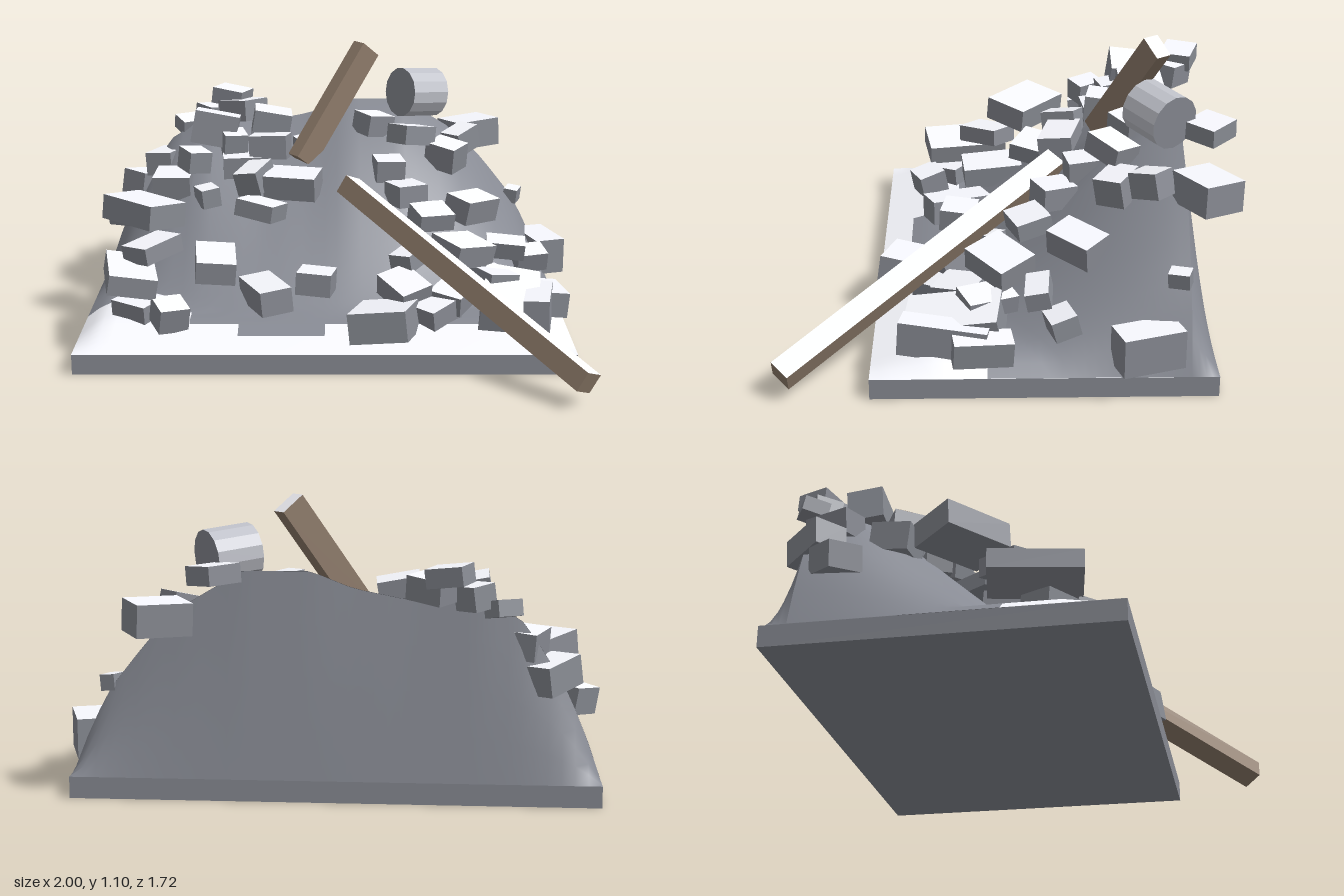
import * as THREE from 'three';

// Dusty upward faces are pale, the other faces dark
const PALE = new THREE.MeshStandardMaterial({ color: 0xf8f9ff });
const DARK = new THREE.MeshStandardMaterial({ color: 0x898c94 });
const MID = new THREE.MeshStandardMaterial({ color: 0xc0c2ca });
const WOOD = new THREE.MeshStandardMaterial({ color: 0x8f7c6b });
const HEAP = new THREE.MeshStandardMaterial({ color: 0x888b94, side: THREE.DoubleSide });
const SKIRT = new THREE.MeshStandardMaterial({ color: 0xf8f9ff, side: THREE.DoubleSide });
const X0 = -1, X1 = 0.93, RIDGE_Z = -0.66, BACK_Z = -0.76, FRONT_Z = 0.51, BASE = 0.08;

// Crest of the heap along its back, as x and y
const crest = [[-1, 0.08], [-0.96, 0.2], [-0.87, 0.42], [-0.72, 0.65], [-0.56, 0.75], [-0.3, 0.73], [-0.1, 0.77],
  [0.05, 0.83], [0.3, 0.83], [0.5, 0.71], [0.65, 0.57], [0.8, 0.38], [0.89, 0.19], [0.93, 0.08]];

// Stepped foot of the slope: right end of each step and its z
const footSteps = [[-0.71, 0.08], [-0.57, 0.2], [-0.36, 0.3], [-0.04, 0.41], [0.57, 0.3], [0.72, 0.2], [1, 0.08]];

function crestHeight(x) {
  let i = 0;
  while (i < crest.length - 2 && x > crest[i + 1][0]) i++;
  const [a, b] = [crest[i], crest[i + 1]];
  return a[1] + (b[1] - a[1]) * (x - a[0]) / (b[0] - a[0]);
}

// Heap height: slope down from the crest, running into a shallow skirt
function heapHeight(x, z) {
  const foot = 0.4 - 0.32 * Math.min(1, ((x + 0.05) / 0.92) ** 2);
  const t = THREE.MathUtils.clamp((z - RIDGE_Z) / (foot - RIDGE_Z), 0, 1);
  const fall = 0.5 * (1 - t) + 0.25 * (1 + Math.cos(Math.PI * t));
  const edge = Math.min(1, (x - X0) / 0.08, (X1 - x) / 0.08);
  const skirt = BASE + 0.06 * edge * Math.min(1, (FRONT_Z - z) / 0.22);
  return Math.max(BASE + (crestHeight(x) - BASE) * fall, skirt);
}

// Grid surface; point(u, v) gives [x, y, z]
function surface(nu, nv, point) {
  const geo = new THREE.PlaneGeometry(1, 1, nu, nv);
  const pos = geo.attributes.position;
  for (let i = 0; i < pos.count; i++) pos.setXYZ(i, ...point(pos.getX(i) + 0.5, 0.5 - pos.getY(i)));
  geo.computeVertexNormals();
  return geo;
}

// Sorts the grid's cells into dark slope and pale skirt
function splitSkirt(geo) {
  const pos = geo.attributes.position, index = geo.index.array, slope = [], skirt = [];
  for (let i = 0; i < index.length; i += 6) {
    const cell = Array.from(index.slice(i, i + 6));
    const mean = (get) => cell.reduce((sum, k) => sum + get(k), 0) / 6;
    const x = mean((k) => pos.getX(k)), z = mean((k) => pos.getZ(k));
    (z > footSteps.find((step) => x < step[0])[1] ? skirt : slope).push(...cell);
  }
  geo.setIndex([...slope, ...skirt]);
  geo.addGroup(0, slope.length, 0);
  geo.addGroup(slope.length, skirt.length, 1);
  return geo;
}

// Rubble blocks: x, y, z, width, height, depth, yaw in degrees
const leftBlocks = [
  [-0.78, 0.48, -0.1, 0.28, 0.1, 0.2, -40], [-0.81, 0.29, 0.17, 0.19, 0.08, 0.34, 10],
  [-0.64, 0.18, 0.33, 0.12, 0.1, 0.12, 25], [-0.77, 0.17, 0.22, 0.17, 0.08, 0.14, -35],
  [-0.48, 0.3, 0.05, 0.16, 0.09, 0.25, 5], [-0.27, 0.22, 0.2, 0.13, 0.1, 0.26, 22],
  [-0.07, 0.27, 0.19, 0.14, 0.09, 0.14, -10], [-0.9, 0.36, -0.53, 0.14, 0.1, 0.13, -40],
  [-0.82, 0.46, -0.63, 0.19, 0.11, 0.13, 50], [-0.73, 0.57, -0.59, 0.12, 0.1, 0.18, -20],
  [-0.68, 0.52, -0.37, 0.16, 0.11, 0.15, -5], [-0.59, 0.63, -0.36, 0.1, 0.09, 0.12, 30],
  [-0.53, 0.5, -0.25, 0.08, 0.08, 0.1, 25], [-0.3, 0.48, -0.12, 0.17, 0.07, 0.14, -25],
  [-0.73, 0.37, 0.07, 0.14, 0.07, 0.2, -40],
];
const upperBlocks = [
  [-0.51, 0.73, -0.52, 0.19, 0.14, 0.14, 0], [-0.39, 0.6, -0.38, 0.16, 0.09, 0.1, 5],
  [-0.27, 0.75, -0.56, 0.16, 0.11, 0.18, 3], [-0.27, 0.68, -0.4, 0.16, 0.1, 0.12, -10],
  [-0.17, 0.56, -0.23, 0.22, 0.1, 0.14, -14], [-0.33, 0.58, -0.25, 0.11, 0.1, 0.15, -25],
  [-0.4, 0.78, -0.68, 0.15, 0.09, 0.16, -35], [-0.45, 0.83, -0.74, 0.14, 0.07, 0.13, -20],
  [-0.54, 0.75, -0.7, 0.1, 0.09, 0.11, 40], [-0.64, 0.71, -0.71, 0.1, 0.06, 0.1, 30],
  [-0.12, 0.67, -0.45, 0.08, 0.08, 0.08, 30], [-0.43, 0.68, -0.46, 0.1, 0.1, 0.12, 15],
  [0.17, 0.76, -0.48, 0.13, 0.09, 0.12, 35], [0.33, 0.73, -0.4, 0.17, 0.08, 0.12, 40],
  [0.48, 0.64, -0.41, 0.14, 0.11, 0.12, -35], [0.55, 0.68, -0.53, 0.1, 0.1, 0.13, -45],
];
// Blocks overhanging the back lie nearly level
const backBlocks = [
  [0.6, 0.67, -0.73, 0.21, 0.12, 0.17, 30], [0.39, 0.83, -0.76, 0.14, 0.07, 0.14, 45],
];
const rightBlocks = [
  [0.2, 0.16, 0.35, 0.23, 0.12, 0.27, -15], [0.28, 0.24, 0.2, 0.14, 0.09, 0.18, 35],
  [0.52, 0.35, 0.03, 0.21, 0.09, 0.17, 40], [0.7, 0.19, 0.2, 0.22, 0.12, 0.36, -8],
  [0.81, 0.18, 0.24, 0.1, 0.13, 0.33, -10], [0.87, 0.17, 0.1, 0.1, 0.1, 0.22, 8],
  [0.58, 0.45, -0.26, 0.2, 0.1, 0.13, 45], [0.82, 0.25, -0.19, 0.13, 0.08, 0.1, 15],
  [0.71, 0.32, -0.11, 0.16, 0.07, 0.09, -5], [0.3, 0.53, -0.18, 0.13, 0.09, 0.14, 25],
  [0.23, 0.61, -0.29, 0.12, 0.09, 0.12, 10], [0.4, 0.46, -0.08, 0.15, 0.07, 0.14, 20],
  [0.9, 0.19, -0.5, 0.13, 0.15, 0.24, 18], [0.79, 0.41, -0.62, 0.06, 0.06, 0.08, -20],
  [0.4, 0.17, 0.27, 0.16, 0.09, 0.13, 45], [0.48, 0.21, 0.18, 0.14, 0.08, 0.18, -30],
  [0.3, 0.33, 0.08, 0.1, 0.07, 0.12, -35], [0.64, 0.25, 0.08, 0.13, 0.07, 0.2, 25],
];

function seeded(seed) {
  return () => (seed = (seed * 16807) % 2147483647) / 2147483647;
}

// Materials of a box with one pale face
const boxMaterials = (body, paleFace) => Array.from({ length: 6 }, (_, i) => (i === paleFace ? PALE : body));

function blockGroup(name, rows, seed, tilt) {
  const group = new THREE.Group();
  group.name = name;
  const rand = seeded(seed);
  for (const [x, y, z, w, h, d, yaw] of rows) {
    const block = new THREE.Mesh(new THREE.BoxGeometry(w, h, d), boxMaterials(DARK, 2));
    block.name = 'rubbleBlock';
    block.position.set(x, y, z);
    block.rotation.set((rand() - 0.3) * tilt, THREE.MathUtils.degToRad(yaw), (rand() - 0.5) * tilt, 'YXZ');
    group.add(block);
  }
  return group;
}

// Beam between two points; up sets the roll
function beam(name, from, to, width, height, up, paleFace) {
  const a = new THREE.Vector3(...from), b = new THREE.Vector3(...to);
  const dir = b.clone().sub(a).normalize();
  const side = new THREE.Vector3(...up).cross(dir).normalize();
  const mesh = new THREE.Mesh(new THREE.BoxGeometry(width, height, a.distanceTo(b)), boxMaterials(WOOD, paleFace));
  mesh.name = name;
  mesh.quaternion.setFromRotationMatrix(new THREE.Matrix4().makeBasis(side, dir.clone().cross(side), dir));
  mesh.position.copy(a).add(b).multiplyScalar(0.5);
  return mesh;
}

export function createModel() {
  const model = new THREE.Group();
  model.name = 'rubblePile';
  const add = (name, geometry, material) => {
    const mesh = new THREE.Mesh(geometry, material);
    mesh.name = name;
    model.add(mesh);
    return mesh;
  };

  // Base slab
  add('baseSlab', new THREE.BoxGeometry(X1 - X0, BASE, FRONT_Z - BACK_Z), boxMaterials(DARK, 2))
    .position.set((X0 + X1) / 2, BASE / 2, (FRONT_Z + BACK_Z) / 2);

  // Heap: sloping front and steep back, meeting at the crest
  const xAt = (u) => X0 + (X1 - X0) * u;
  add('heapSlope', splitSkirt(surface(40, 30, (u, v) => {
    const x = xAt(u), z = RIDGE_Z + (FRONT_Z - RIDGE_Z) * v;
    return [x, heapHeight(x, z) + 0.001, z];
  })), [HEAP, SKIRT]);
  add('heapBack', surface(40, 4, (u, v) => {
    const x = xAt(1 - u);
    return [x, BASE + (crestHeight(x) - BASE) * (1 - v), RIDGE_Z + (BACK_Z - RIDGE_Z) * v];
  }), HEAP);

  // Loose blocks
  model.add(blockGroup('leftRubble', leftBlocks, 11, 0.38));
  model.add(blockGroup('upperRubble', upperBlocks, 23, 0.38));
  model.add(blockGroup('backRubble', backBlocks, 5, 0.15));
  model.add(blockGroup('rightRubble', rightBlocks, 37, 0.38));

  // Broken column drum on the crest
  const drumShape = new THREE.CylinderGeometry(0.105, 0.105, 0.18, 14).toNonIndexed();
  drumShape.computeVertexNormals();
  const drum = add('columnDrum', drumShape, [MID, DARK, DARK]);
  drum.position.set(0.36, 0.88, -0.57);
  drum.quaternion.setFromUnitVectors(new THREE.Vector3(0, 1, 0), new THREE.Vector3(0.82, -0.1, -0.56).normalize());

  // Timber beams
  model.add(beam('longBeam', [0.06, 0.56, -0.2], [0.92, 0.095, 0.83], 0.09, 0.08, [0.3, 1, -0.25], 2));
  model.add(beam('shortBeam', [-0.14, 0.62, -0.38], [0.14, 1.07, -0.58], 0.07, 0.1, [-0.62, 0.63, 0.45], 4));
  return model;
}
